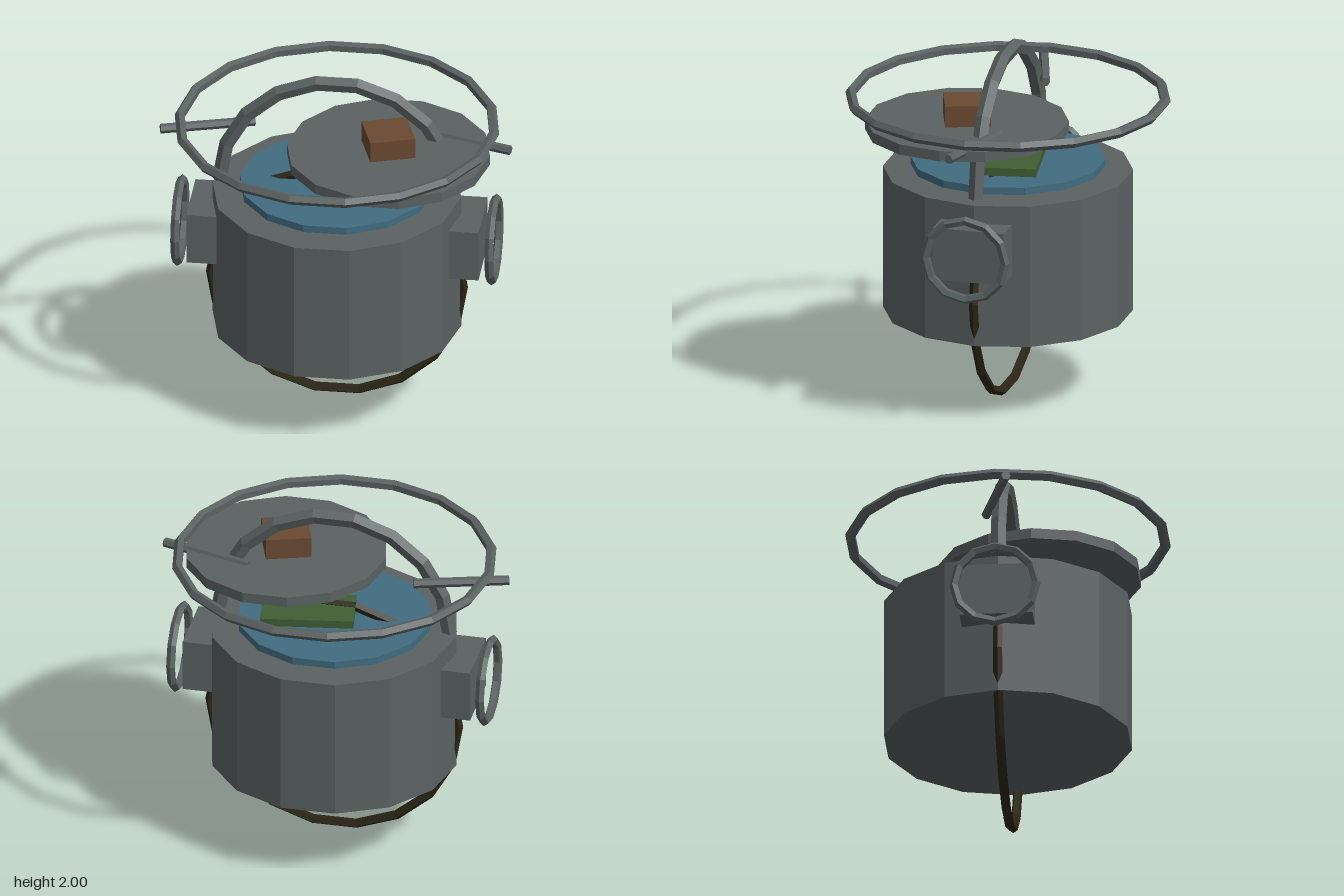
import * as THREE from 'three';

const flat = (name, color) => {
  const m = new THREE.MeshStandardMaterial({ color, flatShading: true });
  m.name = name;
  return m;
};

export function createModel() {
  const iron = flat('iron grey', 0x5b6262);
  const water = flat('water blue', 0x426c80);
  const wood = flat('wood brown', 0x6a4932);
  const leaf = flat('leaf green', 0x3f5f35);
  const soot = flat('dark soot', 0x2b2616);

  const model = new THREE.Group();
  model.name = 'cookingPot';

  const add = (name, geometry, material, x, y, z) => {
    const mesh = new THREE.Mesh(geometry, material);
    mesh.name = name;
    mesh.position.set(x, y, z);
    model.add(mesh);
    return mesh;
  };
  // Fourteen-sided disc with corners on the x axis
  const disc = (name, r, y0, y1, material, x = 0, z = 0) =>
    add(name, new THREE.CylinderGeometry(r, r, y1 - y0, 14).rotateY(Math.PI / 2),
      material, x, (y0 + y1) / 2, z);
  // Hoop with a five-sided section
  const hoop = (r, tube, segments, arc = Math.PI * 2) =>
    new THREE.TorusGeometry(r, tube, 5, segments, arc);

  // Pot, contents and lid
  disc('potBody', 0.692, 0.47, 1.287, iron);
  disc('waterSurface', 0.54, 1.305, 1.347, water);
  disc('lid', 0.565, 1.59, 1.65, iron, 0.305, 0.15);
  add('lidKnob', new THREE.BoxGeometry(0.253, 0.12, 0.253), wood, 0.305, 1.71, 0.15)
    .rotation.y = 0.32;
  add('floatingLeaf', new THREE.BoxGeometry(0.516, 0.045, 0.295), leaf, 0.13, 1.393, -0.075)
    .rotation.y = 0.155;

  // Hoops and carrying handle
  add('carryHandle', hoop(0.65, 0.044, 9, Math.PI), iron, 0, 1.316, 0);
  add('rimHoop', hoop(0.873, 0.03, 18), iron, 0, 1.7, 0).rotation.x = Math.PI / 2;
  add('underHoop', hoop(0.702, 0.027, 18), soot, 0, 0.718, 0);

  // Side lugs, lug rings and loose rods
  for (const s of [1, -1]) {
    const side = s > 0 ? 'left' : 'right';
    add(side + 'Lug', new THREE.BoxGeometry(0.18, 0.3, 0.405), iron, s * 0.723, 1.03, 0);
    add(side + 'LugRing', hoop(0.228, 0.026, 12), iron, s * 0.874, 1.03, 0)
      .rotation.y = s * Math.PI / 2;
    add(side + 'Rod', new THREE.CylinderGeometry(0.027, 0.027, 0.53, 6).rotateZ(Math.PI / 2),
      iron, s * 0.72, 1.643, -0.007).rotation.y = -s * 0.29;
  }
  return model;
}
